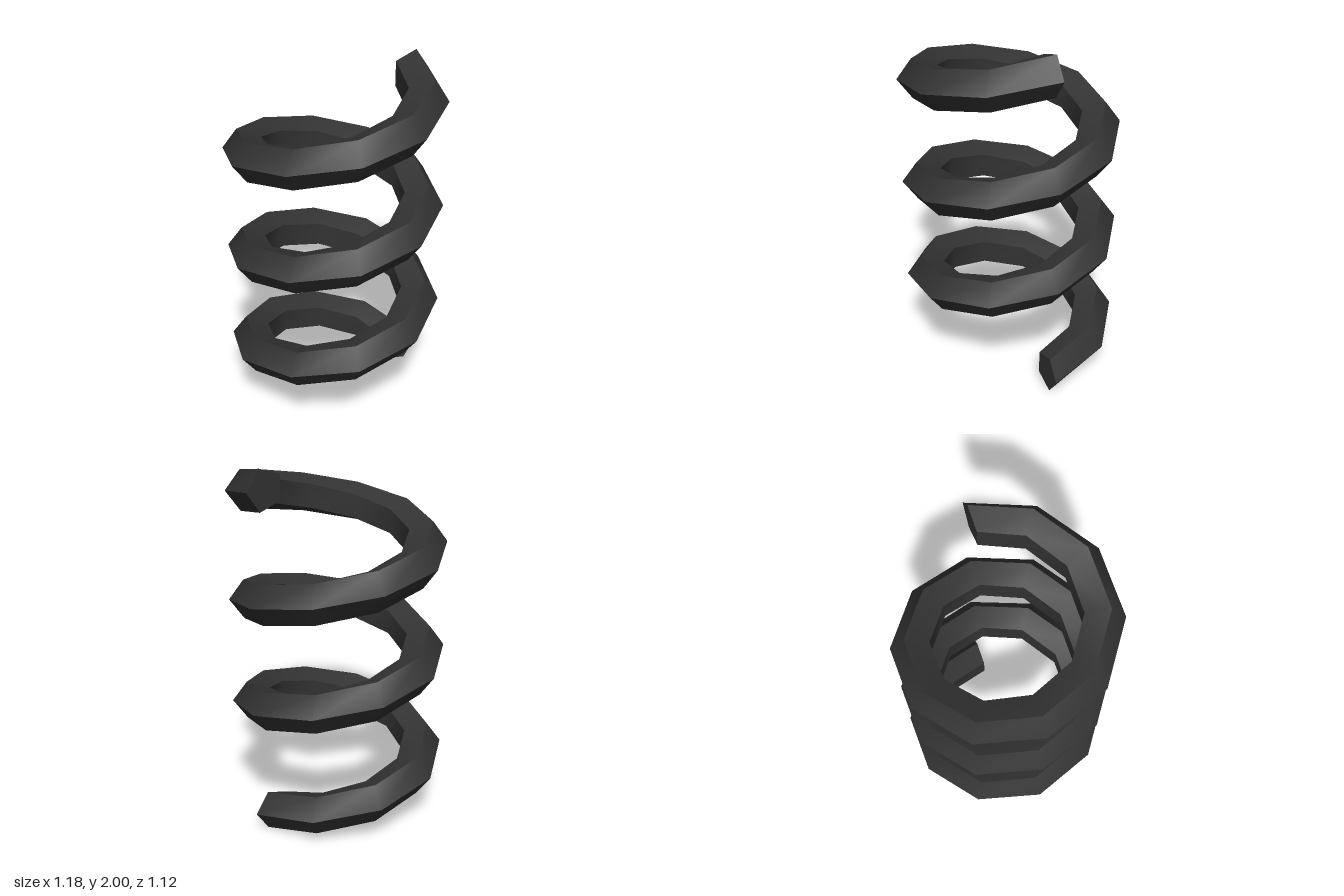
import * as THREE from 'three';
import { toCreasedNormals } from 'three/addons/utils/BufferGeometryUtils.js';

const SIDES = 5;             // pentagonal wire
const STEPS = 10;            // segments per turn
const TURNS = 3;
const COIL_RADIUS = 0.475;
const WIRE_RADIUS = 0.115;
const Y_START = 0.109;
const Y_END = 1.891;

// Sweeps an upright pentagon around the helix and caps both ends
function coilGeometry() {
  const rings = STEPS * TURNS;
  const positions = [];
  const index = [];
  for (let i = 0; i <= rings; i++) {
    const a = (i / STEPS) * Math.PI * 2;
    const y = THREE.MathUtils.lerp(Y_START, Y_END, i / rings);
    for (let j = 0; j < SIDES; j++) {
      const phi = (j / SIDES) * Math.PI * 2;
      const r = COIL_RADIUS + WIRE_RADIUS * Math.cos(phi);
      positions.push(r * Math.cos(a), y + WIRE_RADIUS * Math.sin(phi), -r * Math.sin(a));
    }
  }

  // Walls
  for (let i = 0; i < rings; i++) {
    for (let j = 0; j < SIDES; j++) {
      const k = (j + 1) % SIDES;
      const a = i * SIDES + j, b = a + SIDES;
      const d = i * SIDES + k, c = d + SIDES;
      index.push(a, b, c, a, c, d);
    }
  }

  // End caps
  const last = rings * SIDES;
  for (let j = 1; j < SIDES - 1; j++) {
    index.push(0, j, j + 1);
    index.push(last, last + j + 1, last + j);
  }

  const geometry = new THREE.BufferGeometry();
  geometry.setAttribute('position', new THREE.Float32BufferAttribute(positions, 3));
  geometry.setIndex(index);
  // Smooth along the coil, sharp across the pentagon's edges
  return toCreasedNormals(geometry, THREE.MathUtils.degToRad(50));
}

export function createModel() {
  const model = new THREE.Group();
  model.name = 'spring';
  const coil = new THREE.Mesh(coilGeometry(), new THREE.MeshStandardMaterial({ color: 0x333333 }));
  coil.name = 'coil';
  model.add(coil);
  return model;
}
